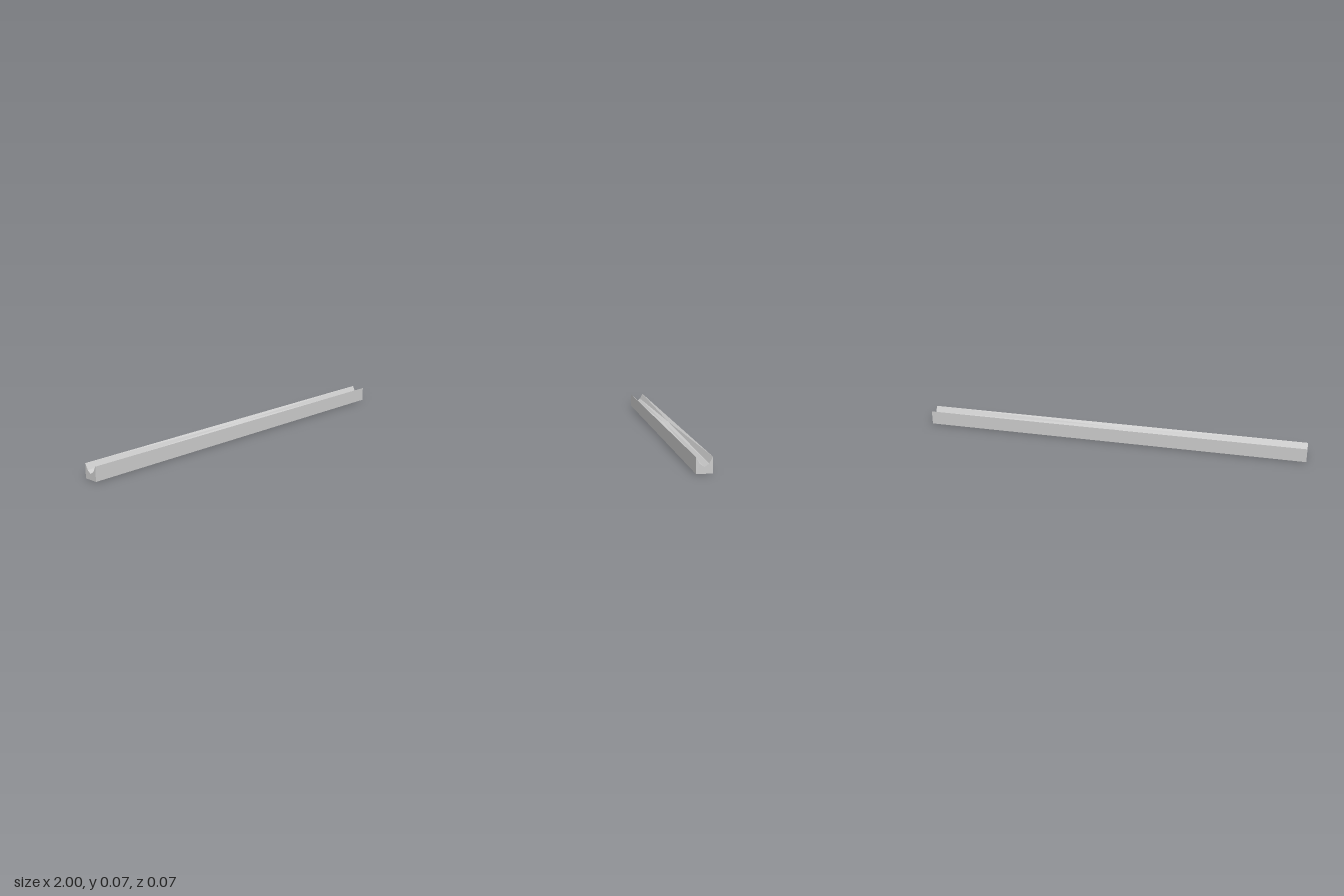
import * as THREE from 'three';

const HALF_LENGTH = 1, HALF_WIDTH = 0.0365, HEIGHT = 0.0725;

// Cross-section as [z, y], counter-clockwise seen from +x
function section(shoulder, valley) {
  return [
    [-HALF_WIDTH, 0], [-HALF_WIDTH, HEIGHT], [-0.02, shoulder], [0, valley],
    [0.02, shoulder], [HALF_WIDTH, HEIGHT], [HALF_WIDTH, 0],
  ];
}

// Channel floor is deep at both ends and rises to a crest at mid-length
const end = section(0.043, 0.029);
const crest = section(0.062, 0.055);

function channelGeometry() {
  const sections = [[-HALF_LENGTH, end], [0, crest], [HALF_LENGTH, end]];
  const n = end.length;
  const positions = [], index = [];
  for (const [x, pts] of sections) for (const [z, y] of pts) positions.push(x, y, z);

  // Walls, underside and channel faces
  for (let s = 0; s < 2; s++) {
    for (let i = 0; i < n; i++) {
      const j = (i + 1) % n;
      const a = s * n + i, b = a + n, d = s * n + j, c = d + n;
      // Split each quad so the folds mirror about the crest and the centre line
      if ((s === 0) === (i < 3)) index.push(a, d, c, a, c, b);
      else index.push(a, d, b, d, c, b);
    }
  }

  // End caps
  const outline = end.map(([z, y]) => new THREE.Vector2(-z, y));
  for (const [a, b, c] of THREE.ShapeUtils.triangulateShape(outline, [])) {
    index.push(2 * n + a, 2 * n + b, 2 * n + c, a, c, b);
  }

  const indexed = new THREE.BufferGeometry();
  indexed.setAttribute('position', new THREE.Float32BufferAttribute(positions, 3));
  indexed.setIndex(index);
  const geometry = indexed.toNonIndexed();
  geometry.computeVertexNormals();
  return geometry;
}

export function createModel() {
  const group = new THREE.Group();
  group.name = 'channelBeam';
  const material = new THREE.MeshStandardMaterial({ color: 0xcccccc, flatShading: true });
  const beam = new THREE.Mesh(channelGeometry(), material);
  beam.name = 'beam';
  group.add(beam);
  return group;
}
